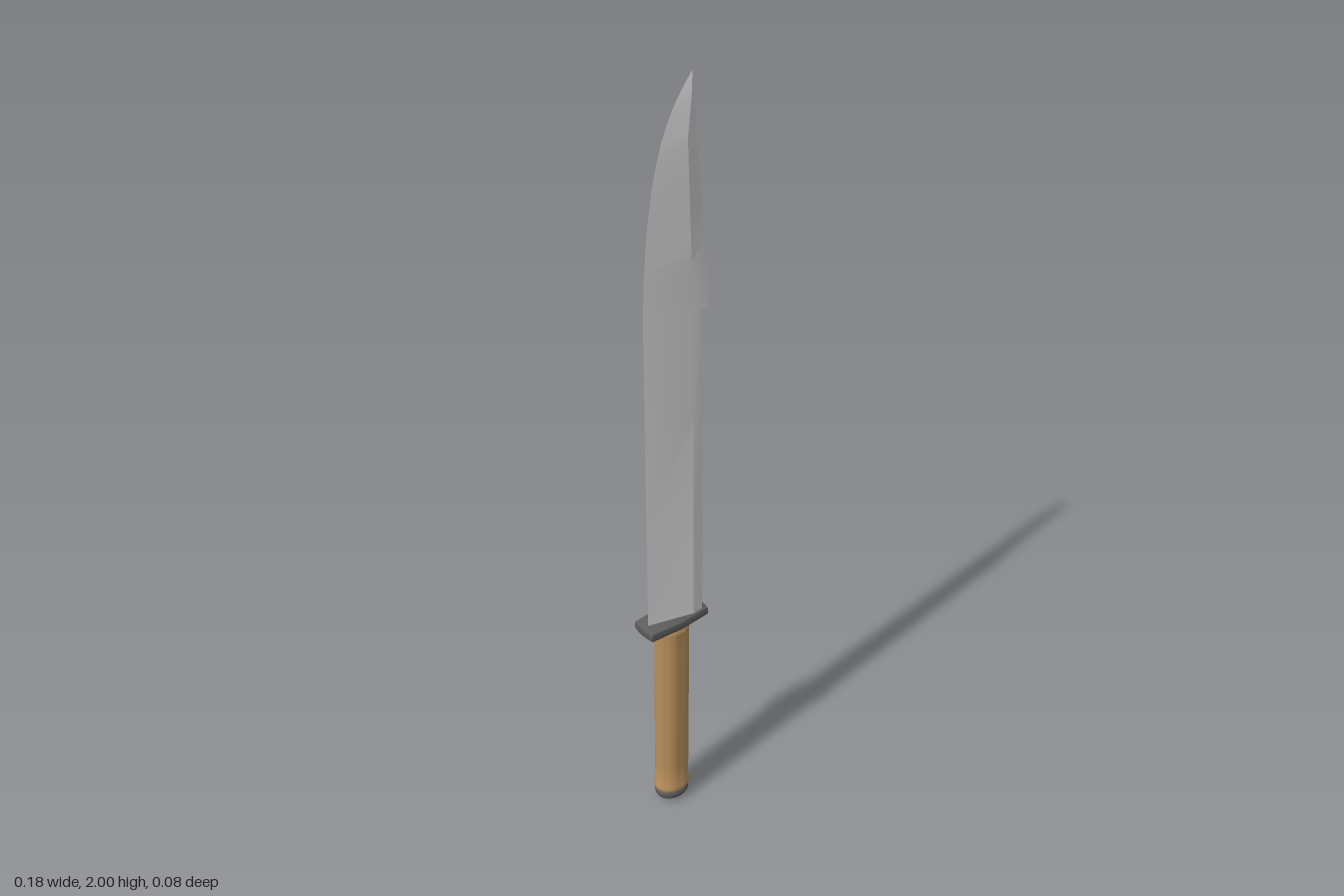
import * as THREE from 'three';
import { toCreasedNormals } from 'three/addons/utils/BufferGeometryUtils.js';

const steel = new THREE.MeshStandardMaterial({ color: 0xcccccc });
const darkSteel = new THREE.MeshStandardMaterial({ color: 0x5c5c5c });
const wood = new THREE.MeshStandardMaterial({ color: 0xb88f5c });

function addMesh(group, name, geometry, material) {
  const mesh = new THREE.Mesh(geometry, material);
  mesh.name = name;
  group.add(mesh);
  return mesh;
}

// Joins rings of equal length (each listed counter-clockwise seen from above)
function loft(rings) {
  const n = rings[0].length;
  const index = [];
  for (let i = 0; i < rings.length - 1; i++) {
    for (let j = 0; j < n; j++) {
      const a = i * n + j, b = i * n + (j + 1) % n;
      index.push(a, b, b + n, a, b + n, a + n);
    }
  }
  const geometry = new THREE.BufferGeometry();
  geometry.setAttribute('position', new THREE.Float32BufferAttribute(rings.flat(2), 3));
  geometry.setIndex(index);
  return geometry;
}

// Round profile turned about y and flattened front to back
function ovalLathe(profile) {
  const points = profile.map(([r, y]) => new THREE.Vector2(r, y));
  return toCreasedNormals(new THREE.LatheGeometry(points, 32).scale(1, 1, 0.82), 0.6);
}

// Linear look-up in a list of [y, value]
function sample(table, y) {
  let i = 0;
  while (i < table.length - 2 && y > table[i + 1][0]) i++;
  const [y0, v0] = table[i], [y1, v1] = table[i + 1];
  return v0 + (v1 - v0) * (y - y0) / (y1 - y0);
}

function bladeGeometry() {
  // Curved belly of the cutting edge, running into the point
  const belly = new THREE.SplineCurve([
    [-0.078, 1.44], [-0.074, 1.57], [-0.062, 1.7], [-0.044, 1.8],
    [-0.02, 1.88], [0.012, 1.945], [0.053, 2],
  ].map(([x, y]) => new THREE.Vector2(x, y)));
  const ridgeX = [[0.59, 0.042], [1.44, 0.042], [1.86, 0.031], [2, 0.053]];
  const ridgeZ = [[0.59, 0.031], [1.44, 0.022], [1.86, 0.014], [1.95, 0.008], [2, 0.0003]];
  const spineZ = [[0.59, 0.029], [1.44, 0.021], [1.85, 0.004], [2, 0.0002]];

  const section = (edge, spine, y) => {
    const rx = sample(ridgeX, y), rz = sample(ridgeZ, y), sz = sample(spineZ, y);
    return [[edge, y, 0], [rx, y, rz], [spine, y, sz], [spine, y, -sz], [rx, y, -rz]];
  };

  // Straight part, then the step out to the clipped point
  const rings = [0.59, 0.88, 1.16, 1.44].map(
    y => section(-0.071 - 0.007 * (y - 0.59) / 0.85, 0.07, y));
  for (let i = 0; i <= 24; i++) {
    const p = belly.getPoint(i / 24);
    const t = (p.y - 1.44) / 0.56;
    rings.push(section(p.x, 0.086 - 0.0325 * t, p.y));
  }
  return toCreasedNormals(loft(rings), 0.28);
}

function guardGeometry() {
  // Plate with a wider middle and gently bowed ends
  const s = new THREE.Shape();
  s.moveTo(-0.081, 0.03);
  s.quadraticCurveTo(-0.088, 0, -0.081, -0.03);
  s.lineTo(0, -0.036);
  s.lineTo(0.081, -0.03);
  s.quadraticCurveTo(0.088, 0, 0.081, 0.03);
  s.lineTo(0, 0.036);
  s.closePath();
  const g = new THREE.ExtrudeGeometry(s, {
    depth: 0.014, bevelEnabled: true, bevelThickness: 0.005,
    bevelSize: 0.004, bevelSegments: 2, curveSegments: 6,
  });
  g.rotateX(-Math.PI / 2).translate(0, 0.579, 0);
  return toCreasedNormals(g, 0.5);
}

export function createModel() {
  const group = new THREE.Group();
  group.name = 'knife';

  addMesh(group, 'blade', bladeGeometry(), steel);
  addMesh(group, 'guard', guardGeometry(), darkSteel);

  // Wooden grip with a soft lip at both ends
  addMesh(group, 'grip', ovalLathe([
    [0, 0.034], [0.042, 0.034], [0.047, 0.04], [0.048, 0.047], [0.046, 0.054], [0.044, 0.06],
    [0.045, 0.12], [0.045, 0.5], [0.045, 0.552], [0.046, 0.558],
    [0.045, 0.566], [0.041, 0.571], [0.04, 0.58],
  ]), wood);

  // Metal end cap, slightly domed below
  addMesh(group, 'pommel', ovalLathe([
    [0, 0], [0.02, 0.003], [0.036, 0.009], [0.042, 0.014],
    [0.045, 0.02], [0.045, 0.032], [0.042, 0.037], [0, 0.037],
  ]), darkSteel);

  return group;
}
